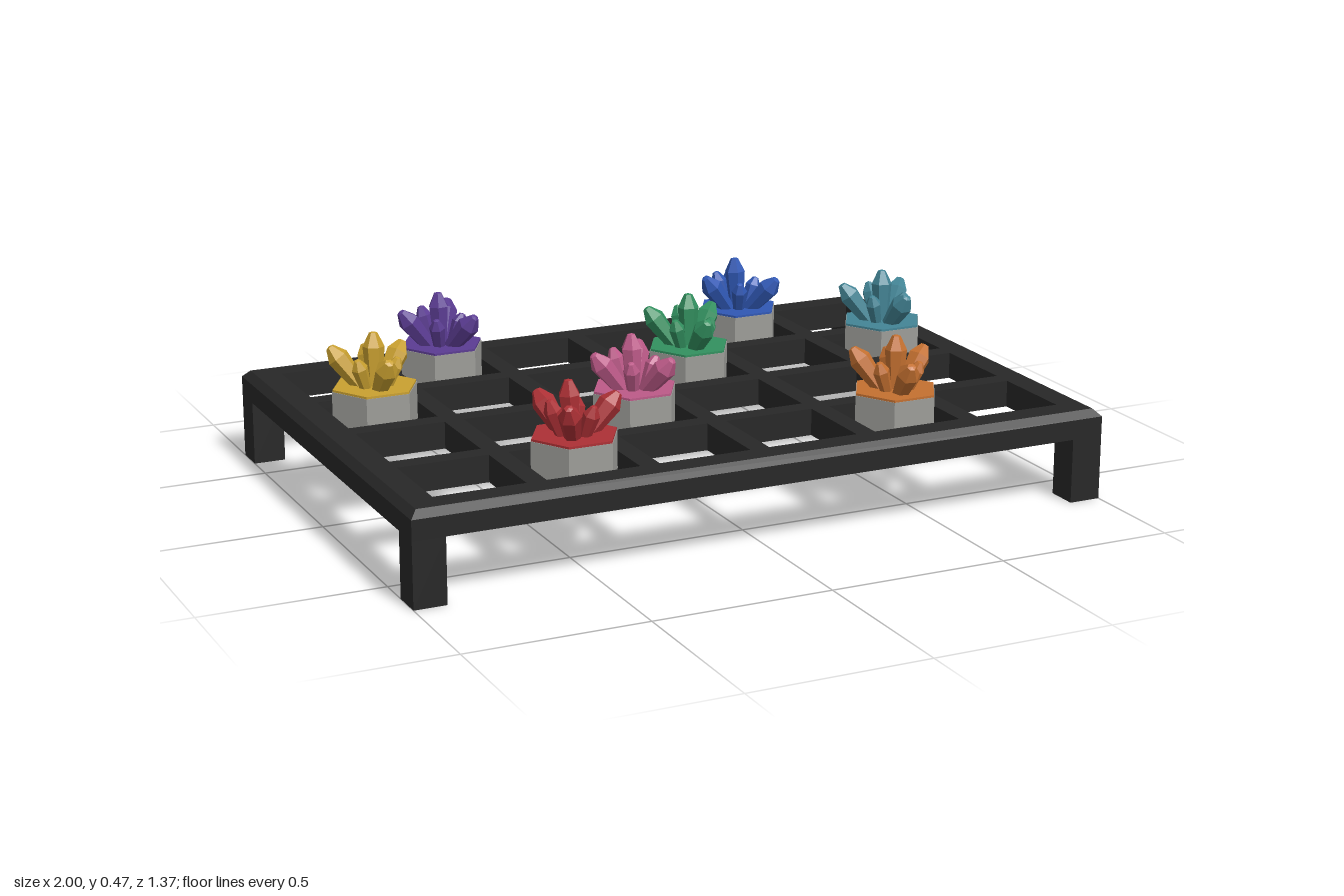
import * as THREE from 'three';

const mat = (name, color) => {
  const m = new THREE.MeshStandardMaterial({ color, flatShading: true });
  m.name = name;
  return m;
};

const PITCH = 0.315, BAR = 0.055, RIM = 0.09, HX = 1, HZ = 0.685;
const BOTTOM = 0.18, TOP = 0.255, CHAMFER = 0.02;
const BASE_LOW = 0.215, BASE_TOP = 0.32, BASE_R = 0.122;

function rectangle(path, x0, z0, x1, z1) {
  path.moveTo(x0, z0);
  path.lineTo(x1, z0);
  path.lineTo(x1, z1);
  path.lineTo(x0, z1);
  path.closePath();
  return path;
}

// Edges of the openings along one axis
function spans(count, half) {
  return Array.from({ length: count }, (_, i) => {
    const a = (i - count / 2) * PITCH;
    return [
      i === 0 ? -half + RIM : a + BAR / 2,
      i === count - 1 ? half - RIM : a + PITCH - BAR / 2,
    ];
  });
}

// Grid slab with 6 x 4 openings and a chamfered outer top edge
function gridGeometry() {
  const shape = rectangle(new THREE.Shape(), -HX, -HZ, HX, HZ);
  for (const [x0, x1] of spans(6, HX))
    for (const [z0, z1] of spans(4, HZ))
      shape.holes.push(rectangle(new THREE.Path(), x0, z0, x1, z1));
  const g = new THREE.ExtrudeGeometry(shape, { depth: TOP - BOTTOM, steps: 2, bevelEnabled: false });
  g.rotateX(-Math.PI / 2).translate(0, BOTTOM, 0);
  const p = g.attributes.position;
  for (let i = 0; i < p.count; i++) {
    const x = p.getX(i), y = p.getY(i), z = p.getZ(i);
    if (y > TOP - 0.001) {
      if (Math.abs(x) > HX - 0.001) p.setX(i, Math.sign(x) * (HX - CHAMFER));
      if (Math.abs(z) > HZ - 0.001) p.setZ(i, Math.sign(z) * (HZ - CHAMFER));
    } else if (y > BOTTOM + 0.001) p.setY(i, TOP - CHAMFER);
  }
  g.computeVertexNormals();
  return g;
}

// Six-sided crystal that widens upward and ends in a blunt point
function crystalGeometry(length, radius) {
  const profile = [
    [0, 0], [radius * 0.65, 0], [radius, length * 0.74], [radius * 0.38, length * 0.98], [0, length],
  ].map(([r, y]) => new THREE.Vector2(r, y));
  return new THREE.LatheGeometry(profile, 6);
}

// Crystals of a cluster: direction in degrees, start distance, lean, length, radius
const CRYSTALS = [
  [0, 0.03, 0.72, 0.145, 0.032],
  [120, 0.03, 0.66, 0.15, 0.031],
  [240, 0.03, 0.7, 0.145, 0.032],
  [200, 0.005, 0.06, 0.16, 0.03],
  [62, 0.03, 0.36, 0.105, 0.023],
  [178, 0.03, 0.36, 0.12, 0.024],
  [300, 0.03, 0.38, 0.1, 0.023],
];

function cluster(x, z, turn, material, stone) {
  const group = new THREE.Group();
  group.position.set(x, 0, z);

  const hexagon = (name, r, y0, y1, m) => {
    const mesh = new THREE.Mesh(new THREE.CylinderGeometry(r, r, y1 - y0, 6), m);
    mesh.rotation.y = Math.PI / 6;
    mesh.position.y = (y0 + y1) / 2;
    mesh.name = name;
    group.add(mesh);
  };
  hexagon('stoneBase', BASE_R, BASE_LOW, BASE_TOP, stone);
  hexagon('crystalBed', BASE_R - 0.002, BASE_TOP, BASE_TOP + 0.006, material);

  for (const [angle, start, lean, length, radius] of CRYSTALS) {
    const mesh = new THREE.Mesh(crystalGeometry(length, radius), material);
    mesh.name = 'crystal';
    mesh.rotation.z = -lean;
    mesh.position.set(start, BASE_TOP - 0.008, 0);
    const pivot = new THREE.Group();
    pivot.rotation.y = -THREE.MathUtils.degToRad(angle + turn);
    pivot.add(mesh);
    group.add(pivot);
  }
  return group;
}

export function createModel() {
  const model = new THREE.Group();
  const black = mat('black', 0x272727);
  const stone = mat('stone grey', 0x9c9c98);

  const grid = new THREE.Mesh(gridGeometry(), black);
  grid.name = 'gridTray';
  model.add(grid);

  // Corner legs
  for (const sx of [-1, 1])
    for (const sz of [-1, 1]) {
      const leg = new THREE.Mesh(new THREE.BoxGeometry(RIM, BOTTOM, RIM), black);
      leg.position.set(sx * (HX - RIM / 2), BOTTOM / 2, sz * (HZ - RIM / 2));
      leg.name = 'leg';
      model.add(leg);
    }

  // Clusters: name, colour, column, row, turn in degrees
  const clusters = [
    ['purple', 0x5b3c92, 1, 0, 60],
    ['blue', 0x3058b4, 4, 0, 50],
    ['yellow', 0xc9a030, 0, 1, 90],
    ['green', 0x32905f, 3, 1, 90],
    ['teal', 0x438596, 5, 1, 85],
    ['pink', 0xbc5a88, 2, 2, 60],
    ['red', 0xac3035, 1, 3, 0],
    ['orange', 0xc47030, 4, 3, 100],
  ];
  for (const [name, color, col, row, turn] of clusters) {
    const c = cluster((col - 2.5) * PITCH, (row - 1.5) * PITCH, turn, mat(name, color), stone);
    c.name = name + 'CrystalCluster';
    model.add(c);
  }
  return model;
}
